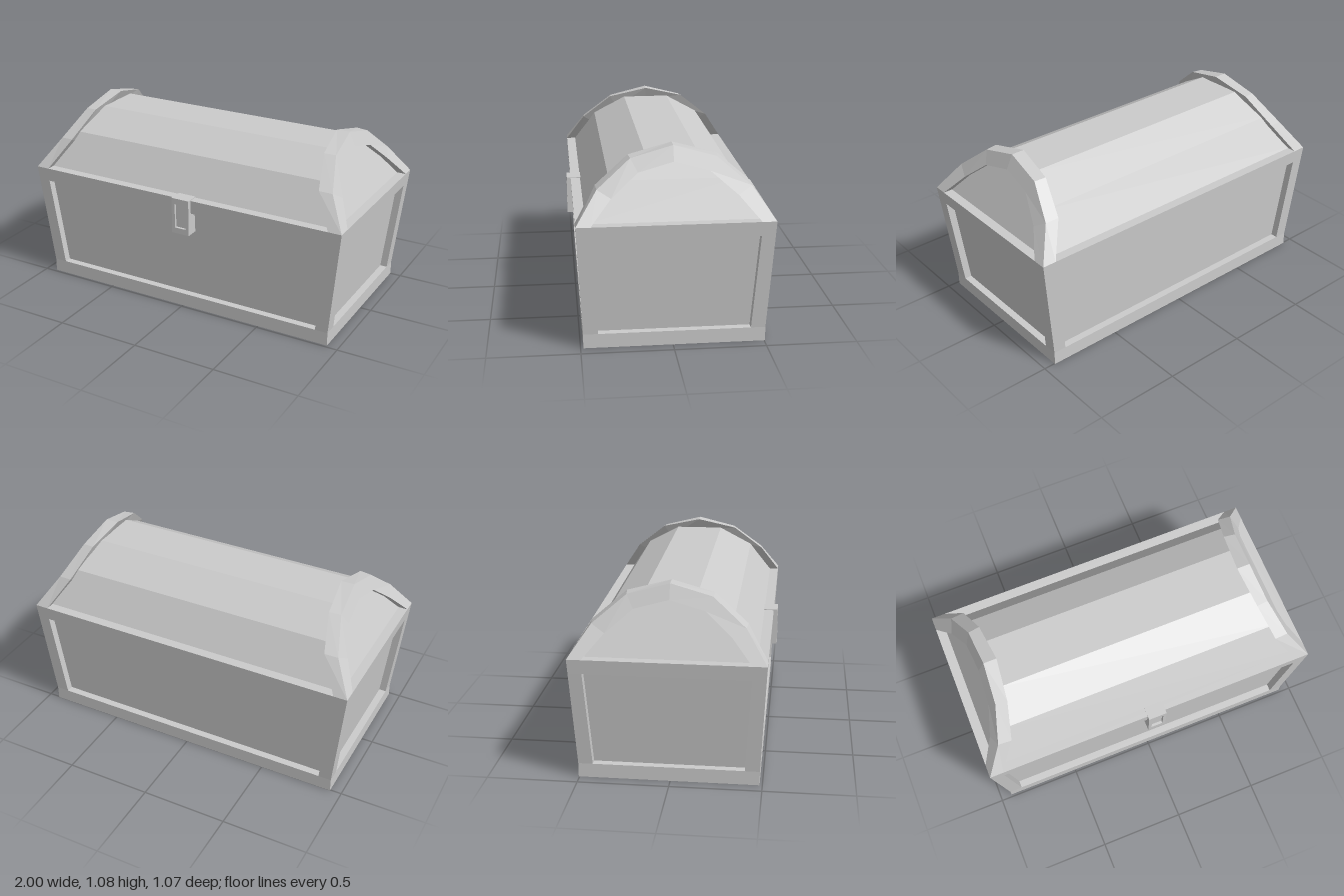
import * as THREE from 'three';

const material = new THREE.MeshStandardMaterial({ color: 0xcccccc, flatShading: true, side: THREE.DoubleSide });

// Mesh from four-cornered faces, corners counter-clockwise
function quadMesh(name, quads) {
  const pos = quads.flatMap(([a, b, c, d]) => [a, b, c, a, c, d].flat());
  const geo = new THREE.BufferGeometry();
  geo.setAttribute('position', new THREE.Float32BufferAttribute(pos, 3));
  geo.computeVertexNormals();
  const mesh = new THREE.Mesh(geo, material);
  mesh.name = name;
  return mesh;
}

const PLINTH = 0.08, OPEN_TOP = 0.625, RIM = 0.705, RECESS = 0.042, FLOOR = 0.05, SKIRT = 0.08;

// One wall facing +z: plinth, flaring frame around a recessed panel, rim on top
function wall(name, half0, half1, dist0, dist1, open0, open1) {
  const t = (OPEN_TOP - PLINTH) / (RIM - PLINTH);
  const halfT = half0 + (half1 - half0) * t, distT = dist0 + (dist1 - dist0) * t;
  const row = (h, y, d) => [[-h, y, d], [h, y, d]];
  const base = row(half0, 0, dist0), low = row(half0, PLINTH, dist0);
  const mid = row(halfT, OPEN_TOP, distT), top = row(half1, RIM, dist1);
  const openL = row(open0, PLINTH, dist0), openT = row(open1, OPEN_TOP, distT);
  const backL = row(open0, PLINTH, dist0 - RECESS), backT = row(open1, OPEN_TOP, distT - RECESS);
  const rim = row(half1 - 0.06, RIM, dist1 - 0.06);
  const skirt = row(half0 - SKIRT, 0, dist0 - SKIRT), skirtTop = row(half0 - SKIRT, FLOOR, dist0 - SKIRT);
  const strip = (a, b) => [a[0], a[1], b[1], b[0]];
  return quadMesh(name, [
    strip(base, low), strip(mid, top), strip(top, rim),
    [low[0], openL[0], openT[0], mid[0]],
    [openL[1], low[1], mid[1], openT[1]],
    // reveals and panel
    strip(openL, backL), strip(backT, openT), strip(backL, backT),
    [openL[0], backL[0], backT[0], openT[0]],
    [backL[1], openL[1], openT[1], backT[1]],
    // thin skirt below the floor
    strip(skirt, skirtTop),
  ]);
}

// Arched band at the +x end of the lid, leaning inwards
function lidArch() {
  const full = (p) => [...p, ...p.slice(0, 3).reverse().map(([x, y, z]) => [x, y, -z])];
  const face = full([[1, 0.705, 0.525], [0.89, 0.873, 0.408], [0.825, 1.02, 0.228], [0.807, 1.08, 0]]);
  const crest = full([[0.92, 0.705, 0.525], [0.812, 0.877, 0.414], [0.757, 1.023, 0.236], [0.73, 1.08, 0]]);
  const opening = full([[1, 0.705, 0.447], [0.918, 0.83, 0.335], [0.86, 0.95, 0.19], [0.845, 1.0, 0]]);
  const rings = [face, crest, opening.map(([x, y, z]) => [x - 0.078, y, z]), opening];
  const quads = [];
  rings.forEach((p, k) => {
    const q = rings[(k + 1) % 4];
    for (let i = 0; i < 6; i++) quads.push([p[i], p[i + 1], q[i + 1], q[i]]);
  });
  return quadMesh('lidArch', quads);
}

// Faceted lid with sloping end panels
function lidBarrel() {
  const half = [[0.705, 0.47], [0.905, 0.34], [1.02, 0.142]];
  const profile = [...half, ...half.map(([y, z]) => [y, -z]).reverse()];
  const side = (s) => profile.map(([y, z]) => [s * (0.945 - 0.52 * (y - RIM)), y, z]);
  const r = side(1), l = side(-1);
  const quads = [];
  for (let i = 0; i < 5; i++) quads.push([r[i], r[i + 1], l[i + 1], l[i]]);
  quads.push([r[0], r[5], r[4], r[1]], [r[1], r[4], r[3], r[2]]);
  quads.push([l[5], l[0], l[1], l[4]], [l[4], l[1], l[2], l[3]]);
  return quadMesh('lidBarrel', quads);
}

// Hasp with a shallow window in its face
function latch() {
  const group = new THREE.Group();
  group.name = 'latch';
  const w = 0.055, h = 0.1075;
  const rect = (P, x, y) => new P([[-x, -y], [x, -y], [x, y], [-x, y]].map((p) => new THREE.Vector2(...p)));
  const shape = rect(THREE.Shape, w, h);
  shape.holes.push(rect(THREE.Path, w - 0.02, h - 0.035));
  const face = new THREE.Mesh(new THREE.ExtrudeGeometry(shape, { depth: 0.015, bevelEnabled: false }), material);
  face.name = 'latchFace';
  face.position.z = 0.07;
  const back = new THREE.Mesh(new THREE.BoxGeometry(2 * w, 2 * h, 0.07), material);
  back.name = 'latchBack';
  back.position.z = 0.035;
  group.add(face, back);
  group.position.set(0.025, 0.6025, 0.463);
  return group;
}

export function createModel() {
  const chest = new THREE.Group();
  chest.name = 'chest';
  const body = new THREE.Group();
  body.name = 'body';
  body.position.z = -0.01;
  chest.add(body);

  // Walls and arches are turned about the middle to make their opposites
  [['front', 'leftEnd', 0], ['back', 'rightEnd', Math.PI]].forEach(([long, short, turn]) => {
    const longWall = wall(long + 'Wall', 0.933, 1, 0.495, 0.525, 0.857, 0.92);
    longWall.rotation.y = turn;
    const endWall = wall(short + 'Wall', 0.495, 0.525, 0.933, 1, 0.415, 0.447);
    endWall.rotation.y = turn + Math.PI / 2;
    const arch = lidArch();
    arch.rotation.y = turn;
    body.add(longWall, endWall, arch);
  });

  // Recessed floor reaching the plinth walls
  const x = 0.933, z = 0.495;
  body.add(quadMesh('floor', [[[-x, FLOOR, -z], [x, FLOOR, -z], [x, FLOOR, z], [-x, FLOOR, z]]]));
  body.add(lidBarrel(), latch());
  return chest;
}
